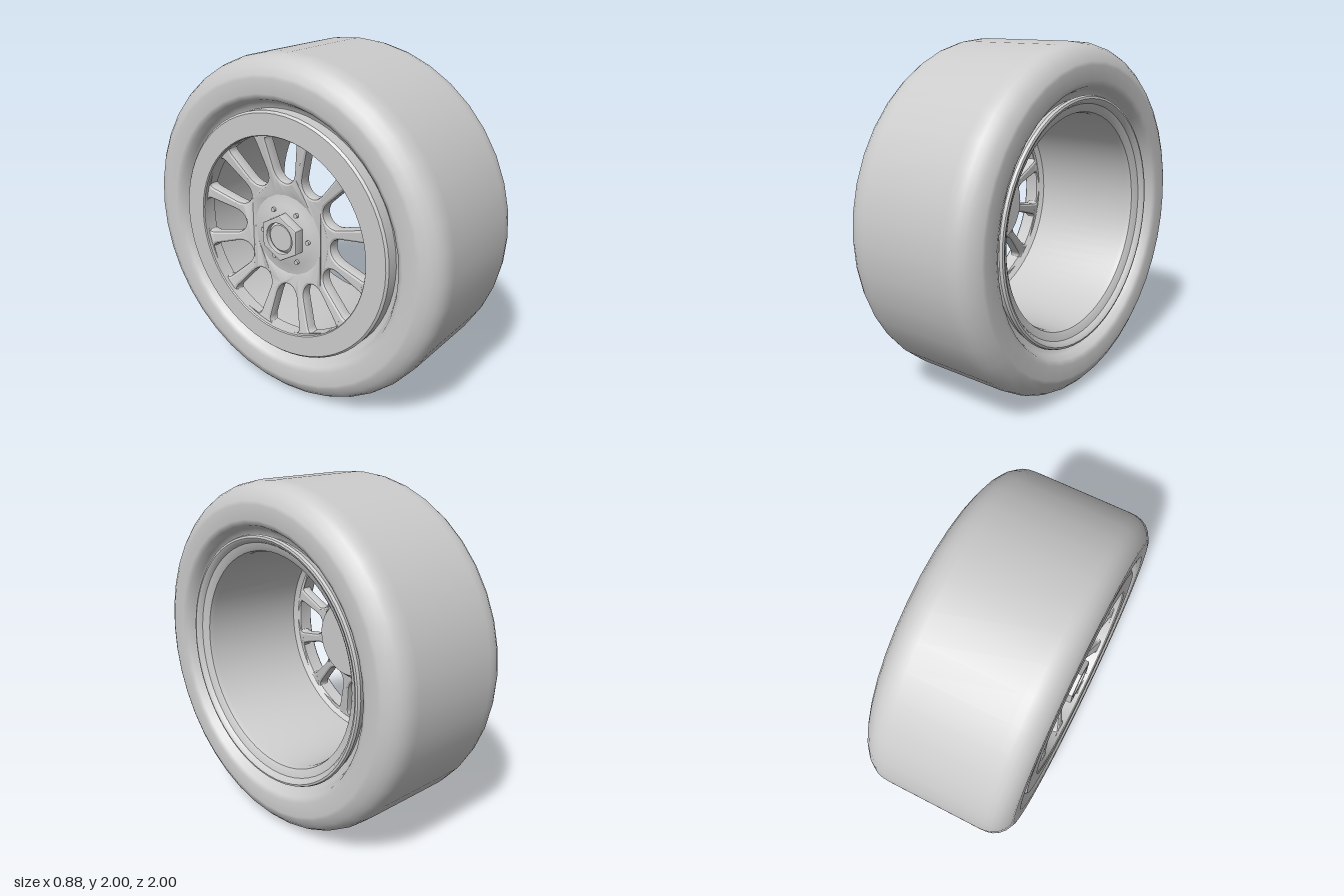
import * as THREE from 'three';
import { toCreasedNormals } from 'three/addons/utils/BufferGeometryUtils.js';

const material = new THREE.MeshStandardMaterial({ color: 0xcccccc });

// Parts are made around the local y axis, which becomes the axle (+x) at the end.
function part(name, geometry, crease) {
  const mesh = new THREE.Mesh(crease ? toCreasedNormals(geometry, crease) : geometry, material);
  mesh.name = name;
  return mesh;
}

function lathe(points, segments) {
  return new THREE.LatheGeometry(points.map(([r, y]) => new THREE.Vector2(r, y)), segments);
}

// Extrude a flat shape along the axle, starting at y = from
function extrudeAlongAxle(shape, from, depth, bevel) {
  const geometry = new THREE.ExtrudeGeometry(shape, {
    depth: depth - 2 * bevel, curveSegments: 10, bevelEnabled: bevel > 0,
    bevelSize: bevel * 0.7, bevelOffset: -bevel * 0.7, bevelThickness: bevel, bevelSegments: 2,
  });
  return geometry.rotateX(-Math.PI / 2).translate(0, from + bevel, 0);
}

// Rounded, tapering opening between two spokes, turned by an angle
function windowPath(angle) {
  const p = (u, v) => new THREE.Vector2(u, v).rotateAround(new THREE.Vector2(), angle);
  const path = new THREE.Path();
  const quad = (a, b) => path.quadraticCurveTo(a.x, a.y, b.x, b.y);
  const line = (a) => path.lineTo(a.x, a.y);
  const start = p(-0.078, 0.575);
  path.moveTo(start.x, start.y);
  quad(p(0, 0.586), p(0.078, 0.575));
  quad(p(0.111, 0.57), p(0.104, 0.53));
  line(p(0.073, 0.38));
  const c1 = p(0.055, 0.28), c2 = p(-0.055, 0.28), end = p(-0.073, 0.38);
  path.bezierCurveTo(c1.x, c1.y, c2.x, c2.y, end.x, end.y);
  line(p(-0.104, 0.53));
  quad(p(-0.111, 0.57), start);
  return path;
}

function makeTire() {
  const half = [
    [0.70, 0.35], [0.735, 0.36], [0.75, 0.385], [0.77, 0.425], [0.80, 0.44], [0.88, 0.44],
    [0.90, 0.436], [0.94, 0.415], [0.97, 0.386], [0.988, 0.355], [0.997, 0.32], [1, 0.28],
  ];
  const lower = half.map(([r, y]) => [r, -y]);
  return part('tire', lathe([...lower, ...half.slice().reverse()], 40));
}

function makeRim() {
  return part('rimBarrel', lathe([
    [0.575, -0.34], [0.575, -0.425], [0.58, -0.432], [0.70, -0.432], [0.712, -0.42],
    [0.712, -0.34], [0.64, -0.30], [0.64, 0.30], [0.70, 0.34], [0.718, 0.39], [0.712, 0.405],
    [0.70, 0.408], [0.685, 0.40], [0.672, 0.38], [0.64, 0.37], [0.625, 0.36],
    [0.617, 0.33], [0.615, -0.31], [0.575, -0.34],
  ], 64), 0.6);
}

function makeSpokes() {
  const disc = new THREE.Shape().absarc(0, 0, 0.61, 0, Math.PI * 2);
  for (let i = 0; i < 12; i++) disc.holes.push(windowPath(i * Math.PI / 6));
  disc.holes.push(new THREE.Path().absarc(0, 0, 0.22, 0, Math.PI * 2, true));
  const geometry = extrudeAlongAxle(disc, -0.405, 0.075, 0.02);
  // Dish the disc inward toward the hub
  const pos = geometry.attributes.position;
  for (let i = 0; i < pos.count; i++) {
    const r = Math.hypot(pos.getX(i), pos.getZ(i));
    const t = THREE.MathUtils.clamp((0.58 - r) / 0.33, 0, 1);
    pos.setY(i, pos.getY(i) + 0.05 * t);
  }
  return part('spokes', geometry, 0.5);
}

function makeHub() {
  const hub = new THREE.Group();
  hub.name = 'hub';
  hub.add(part('hubBody', lathe([
    [0, -0.365], [0.17, -0.365], [0.18, -0.36], [0.265, -0.352], [0.27, -0.345],
    [0.27, -0.28], [0.255, -0.25], [0.225, -0.21], [0, -0.21],
  ], 48), 0.5));

  // Hexagonal centre nut with a round bore
  const hex = new THREE.Shape();
  for (let i = 0; i < 6; i++) {
    const a = i * Math.PI / 3;
    hex[i ? 'lineTo' : 'moveTo'](0.135 * Math.cos(a), 0.135 * Math.sin(a));
  }
  hex.closePath();
  hex.holes.push(new THREE.Path().absarc(0, 0, 0.09, 0, Math.PI * 2, true));
  hub.add(part('centreNut', extrudeAlongAxle(hex, -0.425, 0.07, 0.008), 0.5));
  hub.add(part('axleEnd', lathe([[0, -0.41], [0.075, -0.41], [0.088, -0.4], [0.088, -0.34]], 32), 0.5));

  // Drive pins around the nut
  for (let i = 0; i < 6; i++) {
    const a = (i + 0.5) * Math.PI / 3;
    const pin = part('drivePin', new THREE.CylinderGeometry(0.013, 0.013, 0.03, 12));
    pin.position.set(0.16 * Math.cos(a), -0.365, 0.16 * Math.sin(a));
    hub.add(pin);
  }
  return hub;
}

export function createModel() {
  const wheel = new THREE.Group();
  wheel.name = 'wheel';
  wheel.add(makeTire(), makeRim(), makeSpokes(), makeHub());
  wheel.rotation.z = -Math.PI / 2;
  wheel.position.y = 1;
  const model = new THREE.Group();
  model.name = 'racingWheel';
  model.add(wheel);
  return model;
}
